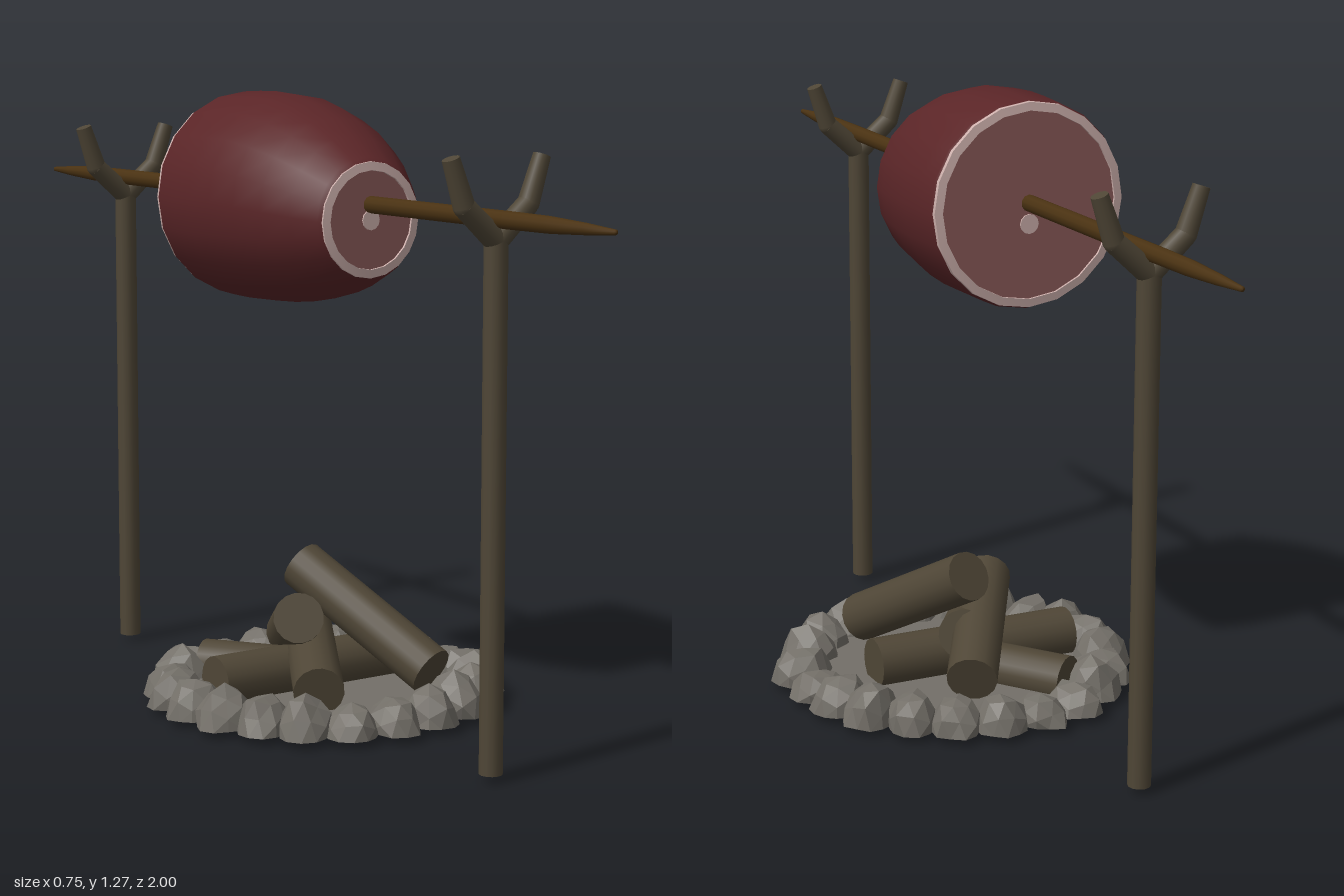
import * as THREE from 'three';
import { toCreasedNormals, mergeVertices } from 'three/addons/utils/BufferGeometryUtils.js';

const mat = (color, extra = {}) => new THREE.MeshStandardMaterial({ color, ...extra });
const V = (x, y, z) => new THREE.Vector3(x, y, z);

function add(parent, name, geometry, material) {
  const mesh = new THREE.Mesh(geometry, material);
  mesh.name = name;
  parent.add(mesh);
  return mesh;
}

// Round bar between two points
function strut(parent, name, a, b, ra, rb, material, sides = 12) {
  const mesh = add(parent, name, new THREE.CylinderGeometry(rb, ra, a.distanceTo(b), sides), material);
  mesh.position.copy(a).lerp(b, 0.5);
  mesh.quaternion.setFromUnitVectors(V(0, 1, 0), b.clone().sub(a).normalize());
  return mesh;
}

// Lathe turned so that its axis runs along z; profile is [radius, z]
function latheZ(profile, sides) {
  return new THREE.LatheGeometry(profile.map(([r, z]) => new THREE.Vector2(r, z)), sides).rotateX(Math.PI / 2);
}

function seeded(seed) {
  return () => {
    seed = (seed * 16807) % 2147483647;
    return seed / 2147483647;
  };
}

export function createModel() {
  const root = new THREE.Group();
  root.name = 'campfireSpitRoast';
  const wood = mat(0x4f4636), spitWood = mat(0x4a3212), skin = mat(0x5a2527);
  const flesh = mat(0x8a5a58), fat = mat(0xcdb0ac);
  const stoneMat = mat(0x736f68, { flatShading: true });
  const X = -0.07, spitY = 1.06;

  // Forked posts
  for (const [name, z] of [['frontPost', 0.665], ['backPost', -0.675]]) {
    const post = new THREE.Group();
    post.name = name;
    post.position.set(X, 0, z);
    root.add(post);
    strut(post, 'postShaft', V(0, 0.015, 0), V(0, 1.02, 0), 0.023, 0.023, wood);
    add(post, 'forkJoint', new THREE.SphereGeometry(0.023, 12, 8), wood).position.y = 1.02;
    for (const s of [-1, 1]) {
      const bend = V(s * 0.074, 1.085, 0);
      strut(post, 'forkLower', V(0, 1.02, 0), bend, 0.023, 0.021, wood);
      add(post, 'forkBend', new THREE.SphereGeometry(0.021, 12, 8), wood).position.copy(bend);
      strut(post, 'forkTip', bend, V(s * 0.105, 1.173, 0), 0.021, 0.017, wood);
    }
  }

  // Spit with pointed ends
  const spit = latheZ([[0, -1], [0.005, -0.998], [0.011, -0.92], [0.016, -0.82], [0.017, -0.7],
    [0.017, 0.7], [0.016, 0.82], [0.011, 0.92], [0.005, 0.998], [0, 1]], 10);
  add(root, 'spit', spit, spitWood).position.set(X, spitY, 0);

  // Roast: a barrel that narrows and droops slightly to the front
  const roast = new THREE.Group();
  roast.name = 'roast';
  roast.position.set(X, 1.055, 0);
  root.add(roast);
  const body = latheZ([[0.203, -0.19], [0.21, -0.18], [0.213, -0.12], [0.214, -0.06], [0.21, 0.01],
    [0.198, 0.08], [0.179, 0.15], [0.152, 0.21], [0.121, 0.262], [0.113, 0.27]], 20);
  const p = body.attributes.position;
  for (let i = 0; i < p.count; i++) {
    p.setY(i, p.getY(i) - 0.025 * Math.max(0, p.getZ(i) / 0.27) ** 1.5);
  }
  add(roast, 'roastSkin', body, skin);

  // Cut ends: rim of fat, flesh and a spot of bone
  for (const [name, r, z, y, boneY] of [['frontCut', 0.115, 0.27, -0.025, 0], ['backCut', 0.207, -0.19, 0, -0.037]]) {
    const cut = new THREE.Group();
    cut.name = name;
    cut.position.set(0, y, z);
    if (z < 0) cut.rotation.y = Math.PI;
    roast.add(cut);
    const rim = latheZ([[r, -0.006], [r - 0.001, 0.002], [r - 0.018, 0.004], [r - 0.019, -0.004]], 20);
    add(cut, 'fatRim', toCreasedNormals(rim, 0.6), fat);
    add(cut, 'cutFlesh', new THREE.CircleGeometry(r - 0.015, 20), flesh);
    const bone = add(cut, 'bone', new THREE.CylinderGeometry(0.02, 0.02, 0.006, 12).rotateX(Math.PI / 2), fat);
    bone.position.y = boneY;
  }

  // Fire pit: low bed with a ring of rough stones
  const pit = new THREE.Group();
  pit.name = 'firePit';
  pit.position.set(0, 0.015, 0.008);
  root.add(pit);
  add(pit, 'pitBed', new THREE.CylinderGeometry(0.3, 0.31, 0.02, 32), stoneMat).position.y = 0.01;
  const rand = seeded(77), count = 22;
  for (let i = 0; i < count; i++) {
    const angle = (i / count) * Math.PI * 2;
    const ico = new THREE.IcosahedronGeometry(1, 1);
    ico.deleteAttribute('normal');
    ico.deleteAttribute('uv');
    const rock = mergeVertices(ico);
    const q = rock.attributes.position, height = 0.058 + rand() * 0.03;
    for (let k = 0; k < q.count; k++) {
      const j = 0.88 + rand() * 0.2;
      // Everything under the ground is pressed flat
      q.setXYZ(k, q.getX(k) * 0.066 * j, Math.max(0, q.getY(k) * height * j), q.getZ(k) * 0.056 * j);
    }
    rock.computeVertexNormals();
    const stone = add(pit, 'stone', rock, stoneMat);
    const r = 0.308 + rand() * 0.014;
    stone.position.set(Math.cos(angle) * r, 0, Math.sin(angle) * r);
    stone.rotation.y = -angle + (rand() - 0.5) * 0.4;
  }

  // Piled logs
  const logs = [
    [V(-0.255, 0.073, -0.013), V(0.195, 0.073, -0.013)],
    [V(0.125, 0.088, 0.215), V(0.02, 0.268, -0.105)],
    [V(0.07, 0.092, -0.225), V(-0.1, 0.2, 0.062)],
    [V(-0.13, 0.075, 0.18), V(0.03, 0.14, -0.1)],
    [V(-0.15, 0.052, -0.225), V(0.02, 0.052, 0.01)],
  ];
  for (const [a, b] of logs) strut(root, 'log', a, b, 0.052, 0.052, wood, 16);
  return root;
}
